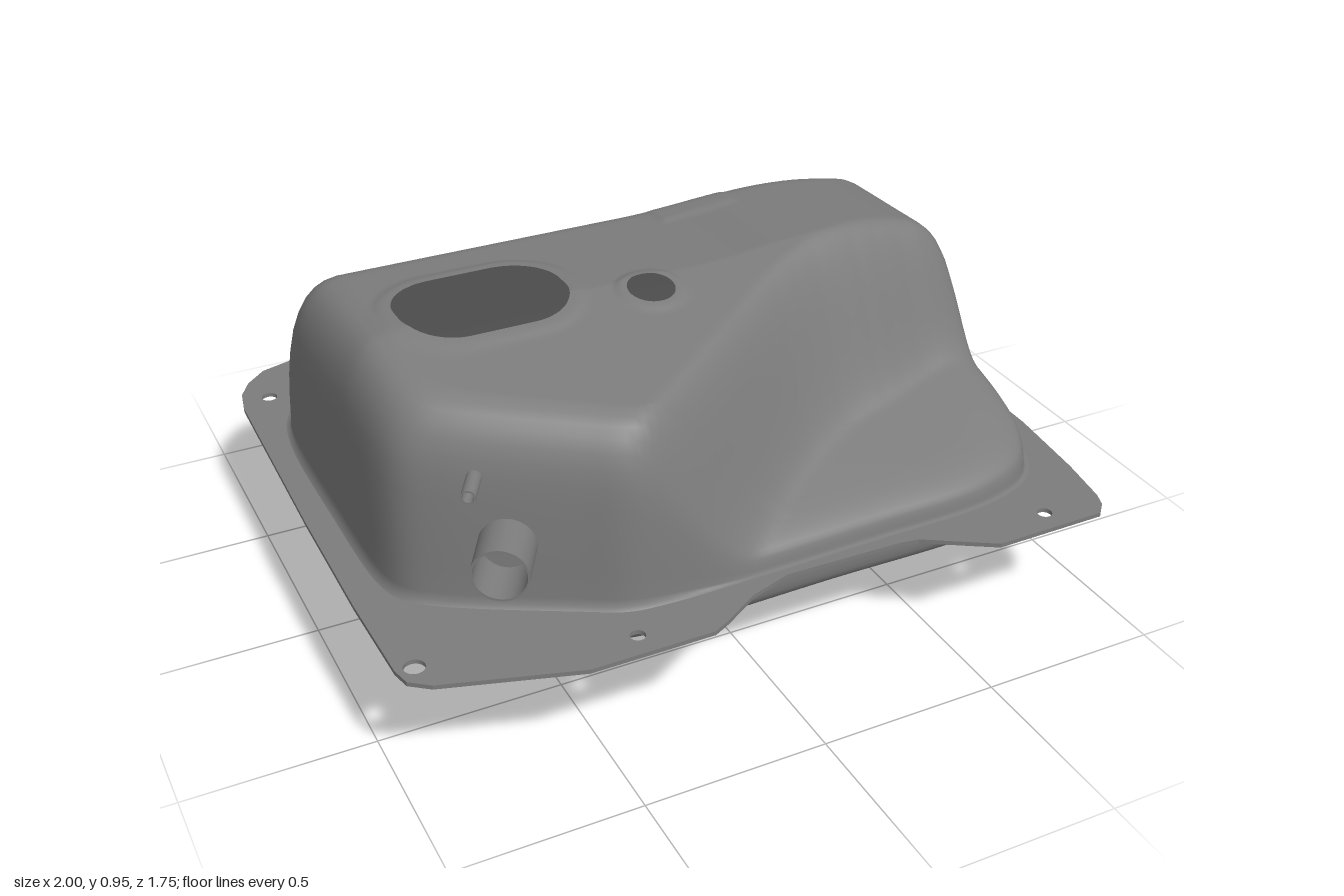
import * as THREE from 'three';

const smooth = THREE.MathUtils.smoothstep;
const smin = (a, b, k) => {
  const h = Math.max(k - Math.abs(a - b), 0) / k;
  return Math.min(a, b) - h * h * k / 4;
};

// Openings in the top: rounded rectangles given by centre, half sizes and corner radius
const openings = [
  { x: -0.505, z: 0.06, hx: 0.225, hz: 0.16, r: 0.14, rim: 0.04 },
  { x: -0.085, z: 0.185, hx: 0.063, hz: 0.063, r: 0.063, rim: 0.028 },
];
function distance(o, x, z) {
  const qx = Math.abs(x - o.x) - o.hx + o.r, qz = Math.abs(z - o.z) - o.hz + o.r;
  return Math.hypot(Math.max(qx, 0), Math.max(qz, 0)) + Math.min(Math.max(qx, qz), 0) - o.r;
}

// Piecewise linear lookup
function lookup(table, v) {
  for (let i = 1; i < table.length; i++) {
    const [a, ya] = table[i - 1], [b, yb] = table[i];
    if (v <= b) return ya + (yb - ya) * Math.max(0, (v - a) / (b - a));
  }
  return table[table.length - 1][1];
}

// Height of the upper shell: gentle roof, sloping back, scooped front
const scoopEdge = [[-0.4, 0.82], [-0.24, 0.7], [-0.02, 0.54], [0.18, 0.39], [0.32, 0.3], [0.46, 0.25], [0.62, 0.215], [1, 0.21]];
function topHeight(x, z) {
  let y = 0.931 + 0.026 * smooth(x, 0.05, 0.45) - 0.16 * Math.max(0, z - 0.13) - 0.04 * Math.max(0, 0.13 - z);
  y -= 0.045 * (Math.max(0, x - 0.45) / 0.3) ** 2;
  for (const o of openings) y += 0.007 * (1 - smooth(distance(o, x, z), o.rim - 0.015, o.rim + 0.012));
  y += 0.006 * smooth(0.13 - Math.abs(x - 0.24), 0, 0.03) * smooth(0.065 - Math.abs(z + 0.22), 0, 0.03);
  const edge = (lookup(scoopEdge, x - 0.08) + lookup(scoopEdge, x) + lookup(scoopEdge, x + 0.08)) / 3;
  const floor = 0.42 + 0.32 * Math.max(0, 0.72 - z);
  const foot = 0.16 - 0.07 * smooth(x, 0.5, 0.88);
  y += (floor - y) * smooth(z - edge, -0.13, foot);
  return Math.max(0.36, smin(y, 0.36 + (z + 0.67) * 1.54, 0.11));
}

// Height of the lower shell: shallow pan in front, sump along the back, deepest on the right
const panProfile = [[-0.22, 0.25], [-0.1, 0.26], [0.02, 0.245], [0.15, 0.217], [0.6, 0.222], [0.72, 0.24]];
const sumpDepth = [[-0.94, 0.16], [-0.9, 0.09], [-0.84, 0.037], [-0.77, 0.008], [-0.3, 0.006], [-0.02, 0.155], [0.06, 0.168], [1, 0.17]];
function bottomHeight(x, z) {
  const pan = lookup(panProfile, z);
  const sump = lookup(sumpDepth, x) + 0.35 * Math.max(0, -0.55 - z) * smooth(x, -0.1, 0.4);
  const slope = 0.25 + (z + 0.21) * 1.03;
  return z > -0.1 ? pan : Math.min(pan, -smin(-sump, -slope, 0.05));
}

function outline(points, count) {
  const curve = new THREE.CatmullRomCurve3(points.map(([x, z]) => new THREE.Vector3(x, 0, z)), true, 'centripetal');
  return curve.getSpacedPoints(count).slice(0, count);
}

const upperOutline = outline([
  [-0.68, -0.685], [-0.3, -0.69], [0.3, -0.69], [0.68, -0.685], [0.81, -0.63], [0.88, -0.53], [0.905, -0.4],
  [0.91, 0], [0.905, 0.45], [0.87, 0.57], [0.8, 0.65], [0.65, 0.7], [0.3, 0.712], [-0.3, 0.718], [-0.4, 0.705],
  [-0.5, 0.655], [-0.8, 0.485], [-0.87, 0.425], [-0.9, 0.35], [-0.915, 0], [-0.91, -0.4], [-0.88, -0.53], [-0.81, -0.63],
], 260);
const lowerOutline = outline([
  [-0.66, -0.825], [-0.2, -0.835], [0.3, -0.835], [0.66, -0.825], [0.79, -0.765], [0.87, -0.66], [0.92, -0.52],
  [0.935, -0.38], [0.935, 0], [0.925, 0.45], [0.89, 0.58], [0.81, 0.67], [0.66, 0.715], [0.2, 0.72], [-0.35, 0.72],
  [-0.47, 0.69], [-0.83, 0.51], [-0.91, 0.43], [-0.94, 0.33], [-0.945, 0], [-0.945, -0.38], [-0.925, -0.52],
  [-0.87, -0.66], [-0.79, -0.765],
], 200);

// Shell of concentric rings: the rim profile is [scale, share of the height], then the face runs to the centre
function shell(points, profile, innerRings, base, height, up, holes = []) {
  const n = points.length, rings = [...profile], last = profile[profile.length - 1][0];
  for (let i = 1; i <= innerRings; i++) rings.push([Math.max(0.001, last * (1 - i / innerRings)), 1]);
  const pos = [], index = [], inside = [];
  for (const [s, f] of rings) {
    for (const p of points) {
      let x = p.x * s, z = p.z * s;
      const hole = holes.find((o) => distance(o, x, z) < 0);
      inside.push(!!hole);
      // Pull points inside an opening out to its edge
      if (hole) {
        const dx = x - hole.x, dz = z - hole.z, len = Math.hypot(dx, dz) || 1;
        for (let k = 0; k < 12; k++) {
          const d = distance(hole, x, z);
          x -= dx / len * d;
          z -= dz / len * d;
        }
      }
      pos.push(x, base + (height(x, z) - base) * f, z);
    }
  }
  const face = (a, b, c) => {
    if (!(inside[a] && inside[b] && inside[c])) index.push(a, ...(up ? [c, b] : [b, c]));
  };
  for (let i = 0; i < rings.length - 1; i++) {
    for (let j = 0; j < n; j++) {
      const k = (j + 1) % n, a = i * n + j, b = i * n + k, c = b + n, d = a + n;
      face(a, b, c);
      face(a, c, d);
    }
  }
  const g = new THREE.BufferGeometry();
  g.setAttribute('position', new THREE.Float32BufferAttribute(pos, 3));
  g.setIndex(index);
  g.computeVertexNormals();
  return g;
}

function flangeGeometry() {
  const plate = new THREE.Shape([
    [-0.99, -0.65], [-0.975, -0.73], [-0.94, -0.79], [-0.88, -0.845], [-0.77, -0.878], [0.77, -0.878], [0.87, -0.85],
    [0.92, -0.8], [0.97, -0.73], [0.99, -0.64], [1, 0], [0.995, 0.4], [0.97, 0.65], [0.945, 0.8], [0.93, 0.84],
    [0.9, 0.872], [0.58, 0.875], [0.53, 0.845], [0.4, 0.765], [0.35, 0.757], [0.02, 0.75], [-0.1, 0.788],
    [-0.2, 0.85], [-0.25, 0.875], [-0.58, 0.875], [-0.93, 0.768], [-0.98, 0.73], [-0.992, 0.68], [-1, 0.4], [-1, 0],
  ].map(([x, z]) => new THREE.Vector2(x, z)));
  plate.holes.push(new THREE.Path(upperOutline.map((p) => new THREE.Vector2(p.x, p.z))));
  // Bolt holes
  for (const [x, z, r] of [[-0.905, -0.685, 0.022], [0.902, -0.685, 0.022], [-0.945, 0.685, 0.027],
    [-0.425, 0.807, 0.02], [0.767, 0.807, 0.02]]) {
    plate.holes.push(new THREE.Path().absarc(x, z, r, 0, Math.PI * 2, true));
  }
  const g = new THREE.ExtrudeGeometry(plate, { depth: 0.012, bevelEnabled: false, curveSegments: 20 });
  g.rotateX(Math.PI / 2);
  g.translate(0, 0.356, 0);
  return g;
}

// Open pipe with a wall, from one point to another
function pipeGeometry(from, to, radius, wall) {
  const a = new THREE.Vector3(...from), b = new THREE.Vector3(...to), dir = b.clone().sub(a), len = dir.length();
  const shape = new THREE.Shape().absarc(0, 0, radius, 0, Math.PI * 2);
  shape.holes.push(new THREE.Path().absarc(0, 0, radius - wall, 0, Math.PI * 2, true));
  const g = new THREE.ExtrudeGeometry(shape, { depth: len, bevelEnabled: false, curveSegments: 32 });
  g.applyQuaternion(new THREE.Quaternion().setFromUnitVectors(new THREE.Vector3(0, 0, 1), dir.normalize()));
  g.translate(a.x, a.y, a.z);
  return g;
}

export function createModel() {
  const steel = new THREE.MeshStandardMaterial({ color: 0x7c7c7c, side: THREE.DoubleSide });
  steel.name = 'grey steel';
  const tank = new THREE.Group();
  tank.name = 'fuelTank';
  const add = (name, geometry) => {
    const mesh = new THREE.Mesh(geometry, steel);
    mesh.name = name;
    tank.add(mesh);
  };

  const upperRim = [[1.015, 0], [1.004, 0.02], [1, 0.06], [0.998, 0.2], [0.995, 0.4], [0.99, 0.58], [0.984, 0.7],
    [0.974, 0.79], [0.958, 0.865], [0.937, 0.925], [0.912, 0.965], [0.885, 0.988], [0.85, 1]];
  add('upperShell', shell(upperOutline, upperRim, 60, 0.357, topHeight, true, openings));

  const lowerRim = [[1, 0], [0.999, 0.2], [0.997, 0.4], [0.993, 0.58], [0.984, 0.72], [0.967, 0.84], [0.943, 0.93],
    [0.915, 0.98], [0.885, 1]];
  add('lowerShell', shell(lowerOutline, lowerRim, 50, 0.346, bottomHeight, false));

  add('flange', flangeGeometry());
  add('fillerPipe', pipeGeometry([-0.63, 0.54, 0.524], [-0.72, 0.54, 0.68], 0.072, 0.006));
  add('ventPipe', pipeGeometry([-0.69, 0.72, 0.48], [-0.757, 0.72, 0.596], 0.019, 0.005));
  return tank;
}
